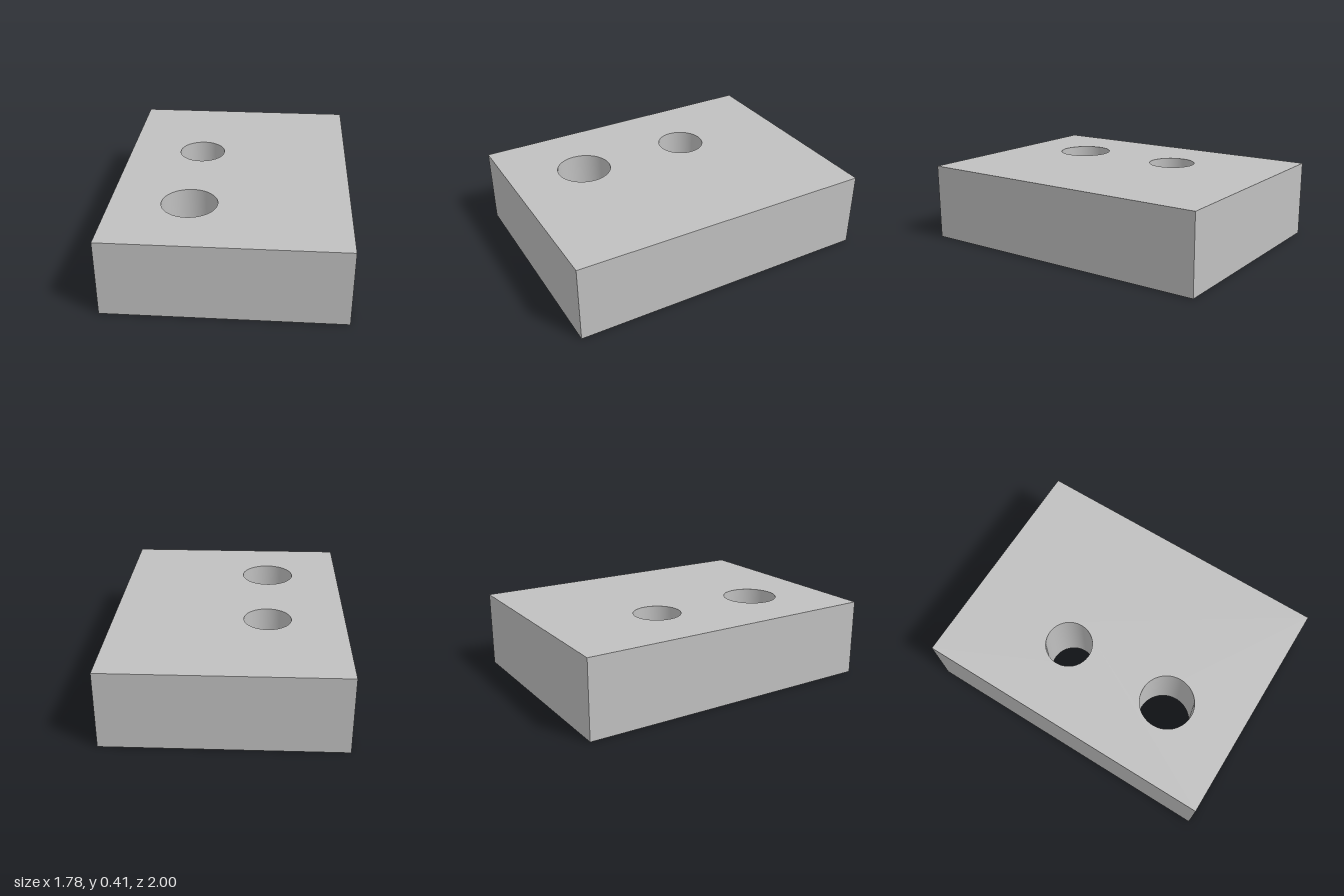
import * as THREE from 'three';

const U = 0.20646;                       // base unit: block is 6 x 2 x 8 units
const W = 6 * U, H = 2 * U, L = 8 * U;
const SMALL = { x: -U, z: -U, r: 0.127 };
const LARGE = { x: -U, z: 2 * U, r: 0.146 };
const BORE_R = 0.376, BORE_D = 0.04;     // counterbore under the large hole

export function createModel() {
  const model = new THREE.Group();
  model.name = 'drilledBlock';
  const grey = new THREE.MeshStandardMaterial({ color: 0xc0c0c0 });
  grey.name = 'grey';

  const add = (name, geometry, x = 0, y = 0, z = 0) => {
    const mesh = new THREE.Mesh(geometry, grey);
    mesh.name = name;
    mesh.position.set(x, y, z);
    model.add(mesh);
    return mesh;
  };

  // Flat rectangular face with round holes; flip = 1 faces up, -1 faces down
  const face = (name, y, flip, holes) => {
    const shape = new THREE.Shape();
    shape.moveTo(-W / 2, -L / 2).lineTo(W / 2, -L / 2).lineTo(W / 2, L / 2).lineTo(-W / 2, L / 2).closePath();
    for (const h of holes) {
      shape.holes.push(new THREE.Path().absarc(h.x, -flip * h.z, h.r, 0, Math.PI * 2, true));
    }
    const geometry = new THREE.ShapeGeometry(shape, 48);
    geometry.rotateX(-flip * Math.PI / 2);
    add(name, geometry, 0, y, 0);
  };

  // Surface of revolution between two profile points (running down faces inward)
  const ring = (name, hole, r0, y0, r1, y1) => add(name,
    new THREE.LatheGeometry([new THREE.Vector2(r0, y0), new THREE.Vector2(r1, y1)], 96), hole.x, 0, hole.z);

  // Outer side walls: a box without its top and bottom
  const sides = new THREE.BoxGeometry(W, H, L);
  const index = Array.from(sides.index.array);
  sides.setIndex([...index.slice(0, 12), ...index.slice(24)]);
  sides.clearGroups();
  add('sideWalls', sides, 0, H / 2, 0);

  face('topFace', H, 1, [SMALL, LARGE]);
  face('bottomFace', 0, -1, [SMALL, { ...LARGE, r: BORE_R }]);

  // Holes and the shallow counterbore
  ring('smallHoleWall', SMALL, SMALL.r, H, SMALL.r, 0);
  ring('largeHoleWall', LARGE, LARGE.r, H, LARGE.r, BORE_D);
  ring('counterboreFloor', LARGE, LARGE.r, BORE_D, BORE_R, BORE_D);
  ring('counterboreWall', LARGE, BORE_R, BORE_D, BORE_R, 0);

  model.rotation.y = Math.PI / 8;
  return model;
}
